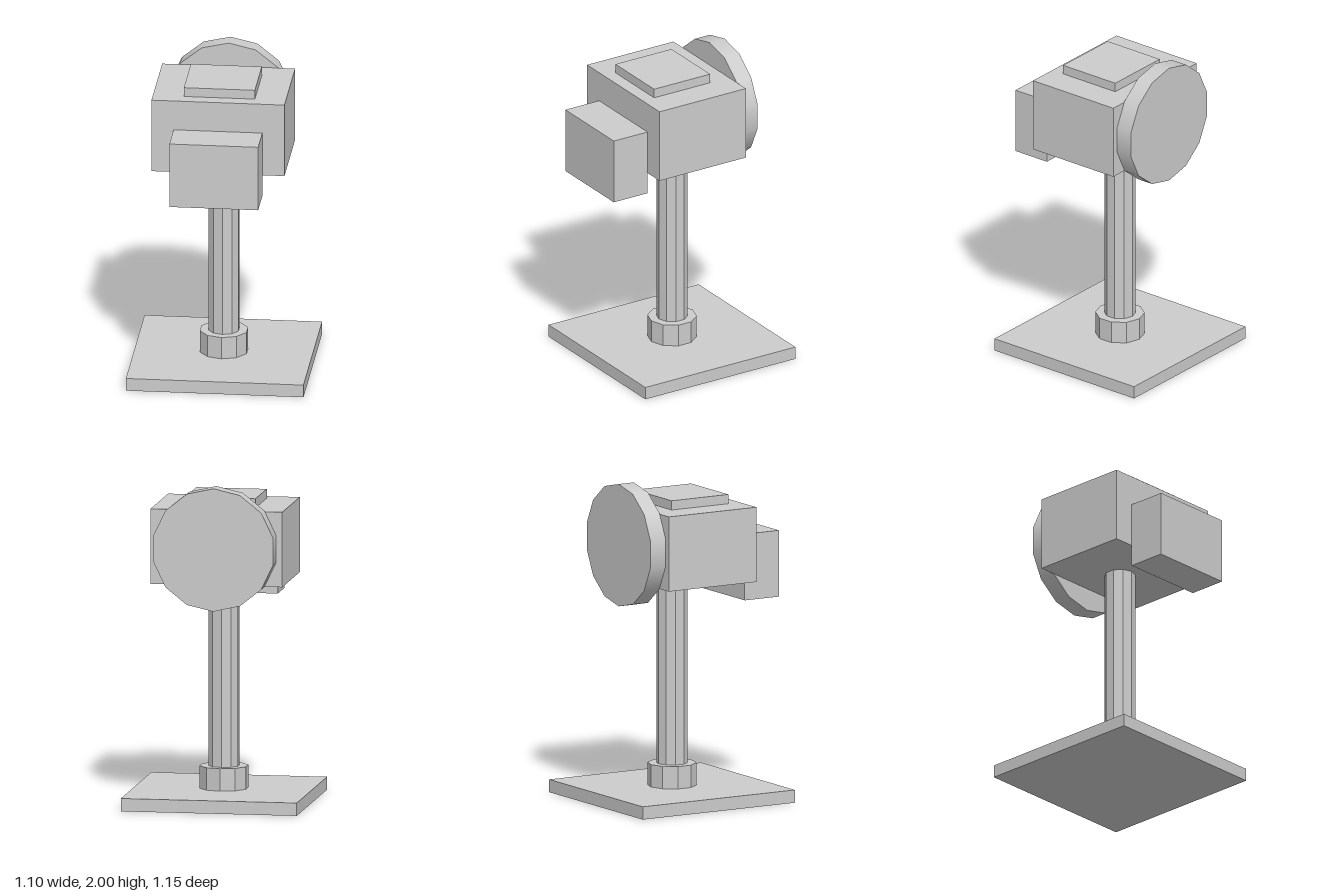
import * as THREE from 'three';

export function createModel() {
  const model = new THREE.Group();
  const grey = new THREE.MeshStandardMaterial({ color: 0xcccccc });
  grey.name = 'plain grey';
  // Same grey, faceted, for the ten-sided parts
  const facetedGrey = grey.clone();
  facetedGrey.flatShading = true;

  function add(name, geometry, material, x, y, z) {
    const mesh = new THREE.Mesh(geometry, material);
    mesh.name = name;
    mesh.position.set(x, y, z);
    model.add(mesh);
    return mesh;
  }

  // Box centred on x, given by its width and its y and z ranges
  function box(name, width, y0, y1, z0, z1) {
    return add(name, new THREE.BoxGeometry(width, y1 - y0, z1 - z0), grey,
      0, (y0 + y1) / 2, (z0 + z1) / 2);
  }

  // Upright ten-sided post
  function post(name, radius, y0, y1) {
    return add(name, new THREE.CylinderGeometry(radius, radius, y1 - y0, 10), facetedGrey,
      0, (y0 + y1) / 2, -0.027);
  }

  // Stand
  box('base', 1.1, 0, 0.08, -0.577, 0.523);
  post('collar', 0.152, 0.08, 0.22);
  post('pole', 0.097, 0.22, 1.38);

  // Head
  box('headBody', 0.824, 1.38, 1.848, -0.303, 0.33);
  box('topPlate', 0.44, 1.848, 1.906, -0.165, 0.246);
  box('frontBlock', 0.55, 1.243, 1.658, 0.33, 0.577);

  // Round back plate with a smooth rim
  const disc = new THREE.CylinderGeometry(0.383, 0.383, 0.11, 14).rotateX(Math.PI / 2);
  add('backDisc', disc, grey, 0, 1.617, -0.358);

  return model;
}
